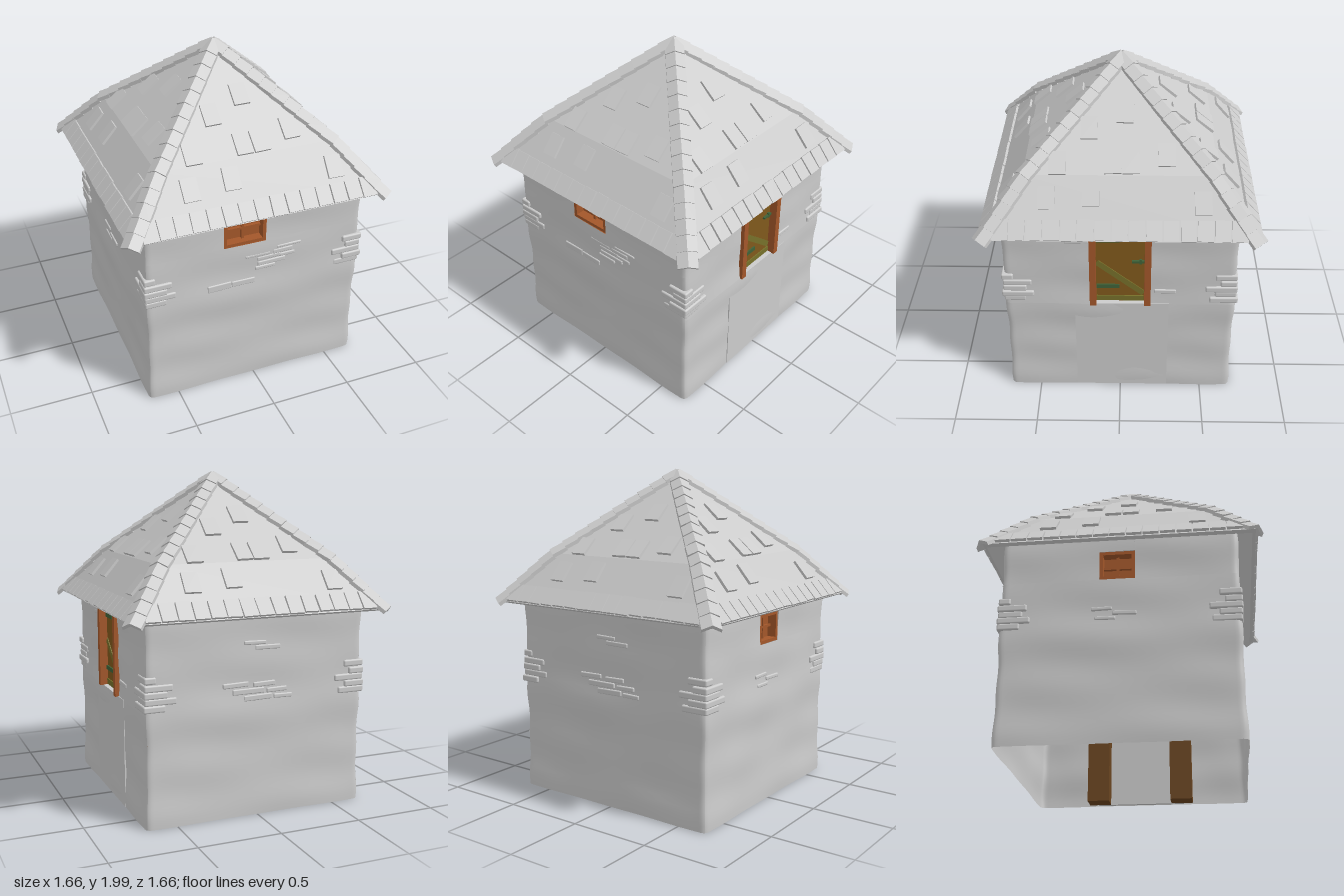
import * as THREE from 'three';
import { RoundedBoxGeometry } from 'three/addons/geometries/RoundedBoxGeometry.js';

const H = 0.682;        // half width of the walls
const R = 0.03;         // corner rounding
// Roof section: apex, break and eave as [distance from centre, height]
const APEX = [0, 1.97], BREAK = [0.55, 1.48], EAVE = [0.785, 1.192];

const mat = (color, flatShading = false) =>
  new THREE.MeshStandardMaterial({ color, flatShading, side: THREE.DoubleSide });
const stone = mat(0xcccccc), tileMat = mat(0xcccccc, true);
const wood = mat(0xa3572a), darkWood = mat(0x6b4520), doorWood = mat(0x80591c);
const iron = mat(0x3f6238), brace = mat(0x76702a);

let seed = 7;
const rnd = () => ((seed = (seed * 16807) % 2147483647) / 2147483647) - 0.5;

function add(parent, name, geometry, material, x = 0, y = 0, z = 0) {
  const m = new THREE.Mesh(geometry, material);
  m.name = name;
  m.position.set(x, y, z);
  parent.add(m);
  return m;
}
const box = (parent, name, material, w, h, d, x, y, z) =>
  add(parent, name, new THREE.BoxGeometry(w, h, d), material, x, y, z);

// Uneven plaster panel on the front side, wrapping half way round the corners
function wallPanel(parent, u0, u1, y0, y1) {
  const w = u1 - u0, h = y1 - y0;
  const g = new THREE.PlaneGeometry(w, h, Math.ceil(w / 0.015), Math.ceil(h / 0.04));
  g.translate((u0 + u1) / 2, (y0 + y1) / 2, 0);
  const p = g.attributes.position;
  for (let i = 0; i < p.count; i++) {
    const u = p.getX(i), y = p.getY(i);
    const c = Math.max(-H + R, Math.min(H - R, u));
    const k = R / Math.hypot(u - c, R);
    const fade = 1 - Math.pow(Math.abs(u) / H, 8);
    const bump = 0.004 * fade * Math.sin(9 * u + 5 * y) * Math.sin(12 * y - 3 * u);
    const s = 1 + 0.008 * Math.sin(17 * y + 0.5) * Math.cos(5 * y);
    p.setXYZ(i, (c + (u - c) * k) * s, y, (H - R + R * k + bump) * s);
  }
  g.computeVertexNormals();
  add(parent, 'wallPanel', g, stone);
}

// Wall with an optional opening [u0, u1, y0, y1]
function wall(parent, hole) {
  const top = 1.24;
  if (!hole) return wallPanel(parent, -H, H, 0, top);
  const [a, b, c, d] = hole;
  wallPanel(parent, -H, H, 0, c);
  wallPanel(parent, -H, a, c, top);
  wallPanel(parent, b, H, c, top);
  if (d < top) wallPanel(parent, a, b, d, top);
}

// Stones showing through the plaster of each side: [u, y, width, height]
const patches = [
  [[0.21, 0.912, 0.16, 0.018], [0.01, 0.882, 0.16, 0.02], [0.17, 0.882, 0.13, 0.03],
    [0.08, 0.855, 0.15, 0.026], [0.2, 0.85, 0.1, 0.024], [0.1, 0.82, 0.18, 0.03],
    [0.06, 0.79, 0.13, 0.024], [-0.23, 0.712, 0.15, 0.046], [-0.08, 0.712, 0.15, 0.038]],
  [[-0.25, 1.113, 0.14, 0.026], [0.265, 0.755, 0.13, 0.028]],
  [[-0.02, 1.03, 0.14, 0.024], [0.06, 1.0, 0.16, 0.028], [-0.14, 0.79, 0.16, 0.03], [0.04, 0.785, 0.14, 0.03],
    [-0.06, 0.748, 0.2, 0.034], [0.12, 0.745, 0.13, 0.028], [0, 0.708, 0.18, 0.034], [0.16, 0.705, 0.12, 0.026]],
  [[-0.1, 0.79, 0.12, 0.022], [0.03, 0.76, 0.14, 0.024], [-0.08, 0.73, 0.12, 0.022]],
];
function brick(parent, [u, y, w, h]) {
  const b = add(parent, 'wallStone', new RoundedBoxGeometry(w, h, 0.05, 2, 0.007), stone, u, y, H - 0.02);
  b.rotation.z = rnd() * 0.06;
}

// Stacked stones at the right hand corner of a side
function cornerStones(parent) {
  [[0.7, 0.17, 0.13], [0.738, 0.13, 0.19], [0.776, 0.19, 0.14], [0.815, 0.1, 0.17], [0.86, 0.13, 0.07]]
    .forEach(([y, a, b]) => {
      const e = 0.694 + rnd() * 0.012;
      add(parent, 'cornerStone', new RoundedBoxGeometry(a, 0.04, b, 2, 0.01), stone, e - a / 2, y, e - b / 2);
    });
}

// Four-pane window centred at u, set back in its opening
function windowUnit(parent, u, w) {
  const g = new THREE.Group();
  g.name = 'window';
  const h = 0.18;
  g.position.set(u, 1.065, H - 0.038);
  box(g, 'pane', wood, w, h, 0.008, 0, 0, -0.025);
  for (const s of [-1, 1]) {
    box(g, 'frameSide', wood, 0.02, h, 0.07, s * (w / 2 - 0.01), 0, 0);
    box(g, 'frameRail', wood, w, 0.02, 0.07, 0, s * (h / 2 - 0.01), 0);
  }
  box(g, 'mullion', wood, 0.016, h, 0.02, 0, 0, -0.012);
  box(g, 'glazingBar', wood, w, 0.014, 0.02, 0, 0, -0.012);
  parent.add(g);
}

// Plank door with posts, strap hinges, diagonal brace and latch
function door(parent) {
  const g = new THREE.Group();
  g.name = 'door';
  box(g, 'doorLeaf', doorWood, 0.29, 0.56, 0.02, 0, 0.94, 0.645);
  for (const s of [-1, 1]) box(g, 'doorPost', wood, 0.038, 0.56, 0.1, s * 0.161, 0.94, 0.655);
  box(g, 'lintel', wood, 0.36, 0.03, 0.09, 0, 1.215, 0.65);
  for (const y of [1.11, 0.775]) box(g, 'hinge', iron, 0.135, 0.026, 0.012, -0.072, y, 0.658);
  box(g, 'bottomBoard', brace, 0.28, 0.035, 0.012, 0, 0.685, 0.656);
  box(g, 'brace', brace, 0.36, 0.036, 0.01, 0, 0.835, 0.655).rotation.z = -0.69;
  box(g, 'latch', iron, 0.07, 0.012, 0.02, 0.105, 0.96, 0.66);
  box(g, 'latchPlate', iron, 0.014, 0.03, 0.016, 0.12, 0.96, 0.66);
  parent.add(g);
}

// Loose shingles and the eave row on one roof face, laid on the broken slope
const shingles = [
  [-0.335, 1.53], [-0.395, 1.385], [-0.16, 1.67], [-0.145, 1.4], [0.045, 1.735],
  [-0.025, 1.535], [0.08, 1.535], [0.28, 1.565], [0.485, 1.365],
];
function roofSide(parent, shift) {
  const slab = (name, w, l, u, y, lift, tilt) => {
    const [a, b] = y > BREAK[1] ? [APEX, BREAK] : [BREAK, EAVE];
    const run = b[0] - a[0], drop = a[1] - b[1];
    const z = a[0] + ((a[1] - y) / drop) * run;
    const t = box(parent, name, tileMat, w, l, 0.016, u, y, z + lift);
    t.rotation.set(-Math.atan2(run, drop) + tilt, 0, rnd() * 0.06);
  };
  shingles.forEach(([u, y]) => slab('shingle', 0.097, 0.135, u + shift, y, 0.011, -0.03));
  for (let i = -7; i <= 7; i++)
    slab('eaveTile', 0.088 + rnd() * 0.008, 0.116 + rnd() * 0.012, i * 0.0955, 1.246, 0.014, -0.04);
}

// Bent cap tiles running down one hip, following the broken slope
function hip(parent) {
  const w = 0.056, d = 0.032, t = 0.022;
  const s = new THREE.Shape();
  [[-w, -d], [0, 0], [w, -d], [w, -d + t], [0, t], [-w, -d + t]]
    .forEach(([x, y], i) => (i ? s.lineTo(x, y) : s.moveTo(x, y)));
  const geo = new THREE.ExtrudeGeometry(s, { depth: 0.098, bevelEnabled: false });
  const across = new THREE.Vector3(1, 0, -1).normalize();
  [[APEX, BREAK, 10], [BREAK, EAVE, 5]].forEach(([a, b, n]) => {
    const from = new THREE.Vector3(a[0], a[1], a[0]);
    const dir = new THREE.Vector3(b[0], b[1], b[0]).sub(from);
    const step = dir.length() / n;
    dir.normalize();
    const up = new THREE.Vector3().crossVectors(dir, across);
    const g = new THREE.Group();
    g.name = 'hip';
    g.quaternion.setFromRotationMatrix(new THREE.Matrix4().makeBasis(across, up, dir));
    g.position.copy(from);
    for (let i = 0; i < n; i++)
      add(g, 'hipTile', geo, tileMat, 0, 0, i * step).rotation.set(-0.08, 0, rnd() * 0.1);
    parent.add(g);
  });
}

export function createModel() {
  const model = new THREE.Group();
  model.name = 'towerHouse';

  // Four sides: front, right, back, left
  const holes = [[-0.204, 0.06, 0.975, 1.155], [-0.18, 0.18, 0.66, 1.24], null, [-0.115, 0.09, 0.975, 1.155]];
  const shifts = [0.005, -0.02, 0, -0.03];
  ['front', 'right', 'back', 'left'].forEach((name, k) => {
    const side = new THREE.Group();
    side.name = name + 'Side';
    side.rotation.y = (k * Math.PI) / 2;
    wall(side, holes[k]);
    cornerStones(side);
    patches[k].forEach((b) => brick(side, b));
    if (k === 0) windowUnit(side, -0.072, 0.264);
    if (k === 3) windowUnit(side, -0.0125, 0.205);
    if (k === 1) {
      door(side);
      // Panel below the door and the timbers behind it
      box(side, 'thresholdPanel', stone, 0.56, 0.66, 0.03, 0.01, 0.333, 0.672);
      for (const u of [-0.26, 0.28]) box(side, 'timber', darkWood, 0.14, 0.6, 0.12, u, 0.304, 0.6);
    }
    roofSide(side, shifts[k]);
    hip(side);
    model.add(side);
  });

  // Pyramid roof shell
  const profile = [[0, 1.93], [0.54, 1.445], [0.765, 1.18], EAVE, BREAK, APEX]
    .map(([r, y]) => new THREE.Vector2(r * Math.SQRT2, y));
  add(model, 'roof', new THREE.LatheGeometry(profile, 4, Math.PI / 4), tileMat);

  // Raised floor with edge beams and a clump of rubble beneath
  box(model, 'floor', wood, 1.33, 0.03, 1.33, 0, 0.645, 0);
  for (const s of [-1, 1]) {
    box(model, 'edgeBeam', darkWood, 0.08, 0.04, 1.32, s * 0.62, 0.62, 0);
    box(model, 'edgeBeam', darkWood, 1.32, 0.04, 0.08, 0, 0.62, s * 0.62);
  }
  for (let i = 0; i < 7; i++) {
    const a = (i / 7) * Math.PI * 2;
    const r = box(model, 'rubble', tileMat, 0.1, 0.06, 0.06, -0.36 + 0.09 * Math.cos(a), 0.61, 0.33 + 0.09 * Math.sin(a));
    r.rotation.set(rnd() * 0.4, -a + rnd(), rnd() * 0.4);
  }
  return model;
}
